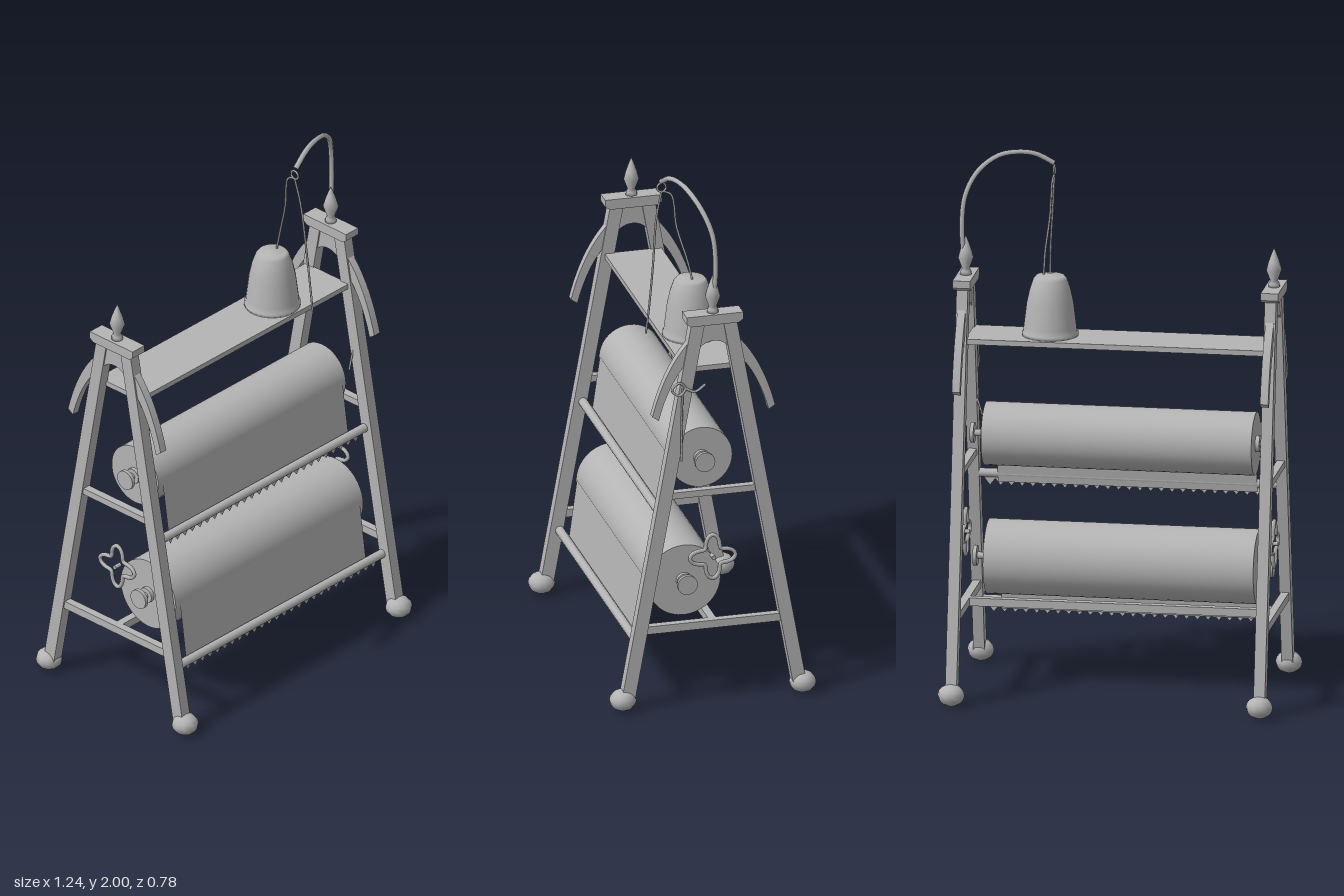
import * as THREE from 'three';

export function createModel() {
  const model = new THREE.Group();
  const grey = new THREE.MeshStandardMaterial({ color: 0xb4b4b4 });
  grey.name = 'plain grey';
  const greySheet = grey.clone(); // same colour, for thin open parts
  greySheet.side = THREE.DoubleSide;

  const add = (name, geo, pos = [0, 0, 0], parent = model, mat = grey) => {
    const m = new THREE.Mesh(geo, mat);
    m.name = name;
    m.position.set(...pos);
    parent.add(m);
    return m;
  };
  const v = (p) => new THREE.Vector3(...p);
  const tube = (name, pts, r, parent = model, seg = 32, closed = false) =>
    add(name, new THREE.TubeGeometry(
      new THREE.CatmullRomCurve3(pts.map(v), closed), seg, r, 6, closed), [0, 0, 0], parent);
  const rod = (name, len, r, pos, parent = model, sides = 16) =>
    add(name, new THREE.CylinderGeometry(r, r, len, sides).rotateZ(Math.PI / 2), pos, parent);
  // Profile drawn in (z, y), extruded along x and centred on x = 0
  const sidePlate = (shape, depth) =>
    new THREE.ExtrudeGeometry(shape, { depth, bevelEnabled: false, curveSegments: 12 })
      .rotateY(-Math.PI / 2).translate(depth / 2, 0, 0);

  // A-shaped side frames
  for (const s of [-1, 1]) {
    const frame = new THREE.Group();
    frame.name = s > 0 ? 'leftFrame' : 'rightFrame';
    frame.position.x = s * 0.57;
    model.add(frame);

    for (const f of [-1, 1]) {
      // splayed leg from foot to cap
      const z0 = 0.325, y0 = 0.04, z1 = 0.06, y1 = 1.51;
      const leg = add('leg', new THREE.BoxGeometry(0.042, Math.hypot(y1 - y0, z1 - z0), 0.05),
        [0, (y0 + y1) / 2, f * (z0 + z1) / 2], frame);
      leg.rotation.x = -f * Math.atan2(z0 - z1, y1 - y0);
      add('foot', new THREE.SphereGeometry(0.05, 10, 8).scale(1, 0.82, 1), [0, 0.041, f * 0.34], frame);

      // curved outer brace
      const b = new THREE.Shape();
      b.moveTo(f * 0.07, 1.46);
      b.quadraticCurveTo(f * 0.18, 1.36, f * 0.232, 1.155);
      b.lineTo(f * 0.208, 1.138);
      b.quadraticCurveTo(f * 0.165, 1.3, f * 0.08, 1.38);
      add('brace', sidePlate(b, 0.03), [0, 0, 0], frame);
    }

    // arched panel under the cap
    const a = new THREE.Shape();
    a.moveTo(-0.08, 1.36);
    a.lineTo(-0.073, 1.36);
    a.absarc(0, 1.36, 0.073, Math.PI, 0, true);
    a.lineTo(0.08, 1.36);
    a.lineTo(0.065, 1.506);
    a.lineTo(-0.065, 1.506);
    add('archPanel', sidePlate(a, 0.03), [0, 0, 0], frame);

    // cap with chamfered lower corners
    const c = new THREE.Shape([[-0.09, 1.503], [0.09, 1.503], [0.107, 1.515], [0.107, 1.542],
      [-0.107, 1.542], [-0.107, 1.515]].map((p) => new THREE.Vector2(...p)));
    add('cap', sidePlate(c, 0.065), [0, 0, 0], frame);

    // spear finial
    const profile = [[0, 1.54], [0.022, 1.54], [0.02, 1.555], [0.014, 1.565], [0.029, 1.605],
      [0.021, 1.635], [0.01, 1.665], [0, 1.69]].map((p) => new THREE.Vector2(...p));
    add('finial', new THREE.LatheGeometry(profile, 10), [0, 0, 0], frame);

    // cross bars joining front and back legs
    add('upperCrossBar', new THREE.BoxGeometry(0.03, 0.025, 0.34), [0, 0.833, 0], frame);
    add('lowerCrossBar', new THREE.BoxGeometry(0.03, 0.03, 0.54), [0, 0.31, 0], frame);

    // four-lobed ring ornament
    const lobes = [];
    for (let i = 0; i < 32; i++) {
      const t = (i / 32) * Math.PI * 2, r = 0.064 + 0.022 * Math.cos(4 * t);
      lobes.push([0, 0.572 + r * Math.sin(t), r * Math.cos(t)]);
    }
    tube('quatrefoil', lobes, 0.008, frame, 64, true);
    rod('quatrefoilPin', 0.03, 0.008, [0, 0.572, 0], frame, 8);
  }

  // Shelf and rear stretcher
  add('shelf', new THREE.BoxGeometry(1.11, 0.02, 0.215), [0, 1.315, -0.002]);
  add('stretcher', new THREE.BoxGeometry(1.12, 0.03, 0.03), [0, 0.31, 0]);

  // Paper rolls, each with axle, hanging sheet, bar and toothed cutter
  const rolls = [
    { name: 'upper', y: 0.94, z: 0.024, r: 0.117, barY: 0.748, barZ: 0.188 },
    { name: 'lower', y: 0.46, z: 0.09, r: 0.138, barY: 0.248, barZ: 0.276 },
  ];
  for (const { name, y, z, r, barY, barZ } of rolls) {
    const g = new THREE.Group();
    g.name = name + 'PaperRoll';
    model.add(g);
    rod('roll', 1, r, [0, y, z], g, 40);
    rod('axle', 1.11, 0.013, [0, y, z], g);
    for (const s of [-1, 1]) {
      rod('axleKnob', 0.014, 0.038, [s * 0.548, y, z], g);
      rod('rollHub', 0.02, 0.03, [s * 0.505, y, z], g);
    }
    // sheet leaving the front of the roll and passing behind the bar
    const top = y + 0.01, bottom = barY - 0.03;
    const zTop = z + r + 0.002, zBottom = barZ - 0.012;
    const sheet = add('sheet', new THREE.PlaneGeometry(0.96, Math.hypot(top - bottom, zBottom - zTop)),
      [0, (top + bottom) / 2, (zTop + zBottom) / 2], g, greySheet);
    sheet.rotation.x = -Math.atan2(zBottom - zTop, top - bottom);
    rod('frontBar', 1.1, 0.017, [0, barY, barZ], g, 12);
    // saw-tooth strip below the bar
    const teeth = new THREE.Shape();
    teeth.moveTo(-0.5, 0);
    const n = 26, step = 1.03 / n;
    for (let i = 0; i < n; i++) {
      teeth.lineTo(-0.5 + (i + 0.5) * step, -0.045);
      teeth.lineTo(-0.5 + (i + 1) * step, -0.02);
    }
    teeth.lineTo(0.53, 0);
    add('cutterTeeth', new THREE.ShapeGeometry(teeth), [0, barY, barZ - 0.006], g, greySheet);
  }

  // Bell-shaped pot standing on the shelf
  const pot = [[0, 1.326], [0.104, 1.326], [0.104, 1.338], [0.099, 1.342], [0.097, 1.36], [0.086, 1.45],
    [0.075, 1.5], [0.062, 1.538], [0.052, 1.55], [0, 1.556]].map((p) => new THREE.Vector2(...p));
  add('bell', new THREE.LatheGeometry(pot, 28), [0.258, 0, 0]);

  // Hook arm with ring and strings
  tube('hookArm', [[0.572, 1.56, 0], [0.583, 1.72, -0.008], [0.572, 1.84, 0], [0.53, 1.925, 0.028],
    [0.46, 1.978, 0.06], [0.39, 1.99, 0.08], [0.325, 1.98, 0.098], [0.262, 1.945, 0.112]], 0.01);
  const ring = add('hookRing', new THREE.TorusGeometry(0.017, 0.004, 6, 16), [0.26, 1.92, 0.11]);
  ring.rotation.y = Math.PI / 2;
  tube('bellString', [[0.26, 1.905, 0.11], [0.262, 1.89, 0.075], [0.268, 1.76, 0.055],
    [0.28, 1.63, 0.018], [0.282, 1.553, 0]], 0.004);
  tube('looseString', [[0.26, 1.905, 0.11], [0.268, 1.8, 0.132], [0.28, 1.62, 0.148],
    [0.285, 1.45, 0.165], [0.285, 1.36, 0.176]], 0.004);

  // Cord bow tied to the left front leg
  const bow = new THREE.Group();
  bow.name = 'cordBow';
  model.add(bow);
  tube('loop', [[0.595, 1.26, 0.11], [0.6, 1.285, 0.135], [0.6, 1.26, 0.162], [0.6, 1.235, 0.135]], 0.005, bow, 24, true);
  tube('shortLoop', [[0.595, 1.26, 0.11], [0.598, 1.245, 0.075], [0.598, 1.27, 0.035]], 0.005, bow, 12);
  tube('innerTail', [[0.59, 1.26, 0.12], [0.575, 1.14, 0.125], [0.53, 0.98, 0.13]], 0.004, bow, 12);
  tube('outerTail', [[0.595, 1.26, 0.12], [0.597, 1.12, 0.125], [0.612, 0.98, 0.13]], 0.004, bow, 12);

  return model;
}
